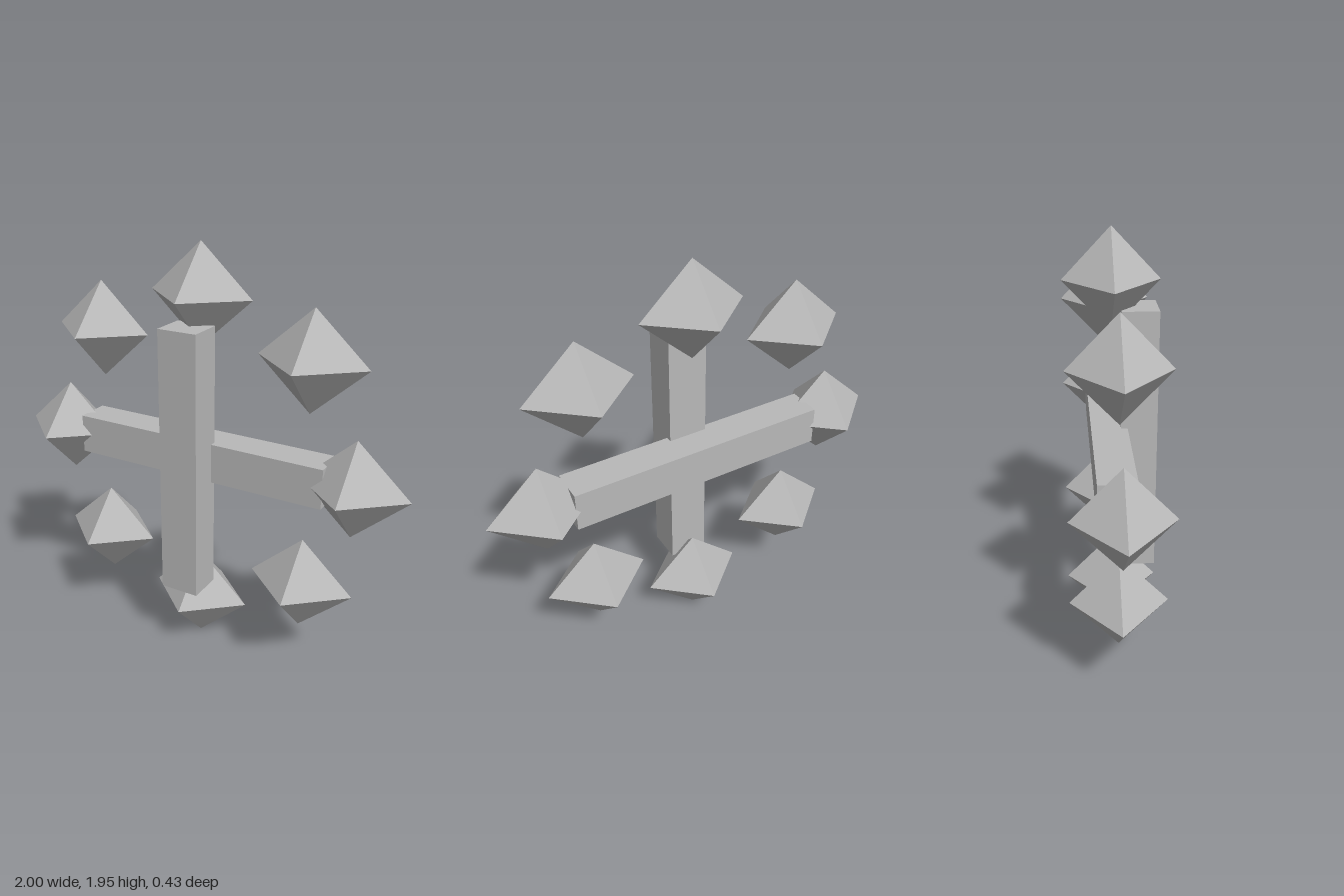
import * as THREE from 'three';

export function createModel() {
  const group = new THREE.Group();
  const grey = new THREE.MeshStandardMaterial({ color: 0xb8b8b8, flatShading: true });
  grey.name = 'grey';
  const midY = 0.977;

  // Ring of eight squashed octahedra
  const gemShape = new THREE.OctahedronGeometry(1).scale(0.25, 0.227, 0.215);
  for (let i = 0; i < 8; i++) {
    const angle = (i * Math.PI) / 4;
    const gem = new THREE.Mesh(gemShape, grey);
    gem.name = 'gem' + (i + 1);
    gem.position.set(0.75 * Math.cos(angle), midY + 0.75 * Math.sin(angle), 0);
    group.add(gem);
  }

  // Two overlapping crossed bars, the upright one in front
  function addBar(name, width, height, z) {
    const bar = new THREE.Mesh(new THREE.BoxGeometry(width, height, 0.165), grey);
    bar.name = name;
    bar.position.set(0, midY, z);
    group.add(bar);
  }
  addBar('uprightBar', 0.187, 1.265, 0.122);
  addBar('crossBar', 1.265, 0.187, -0.013);

  return group;
}
